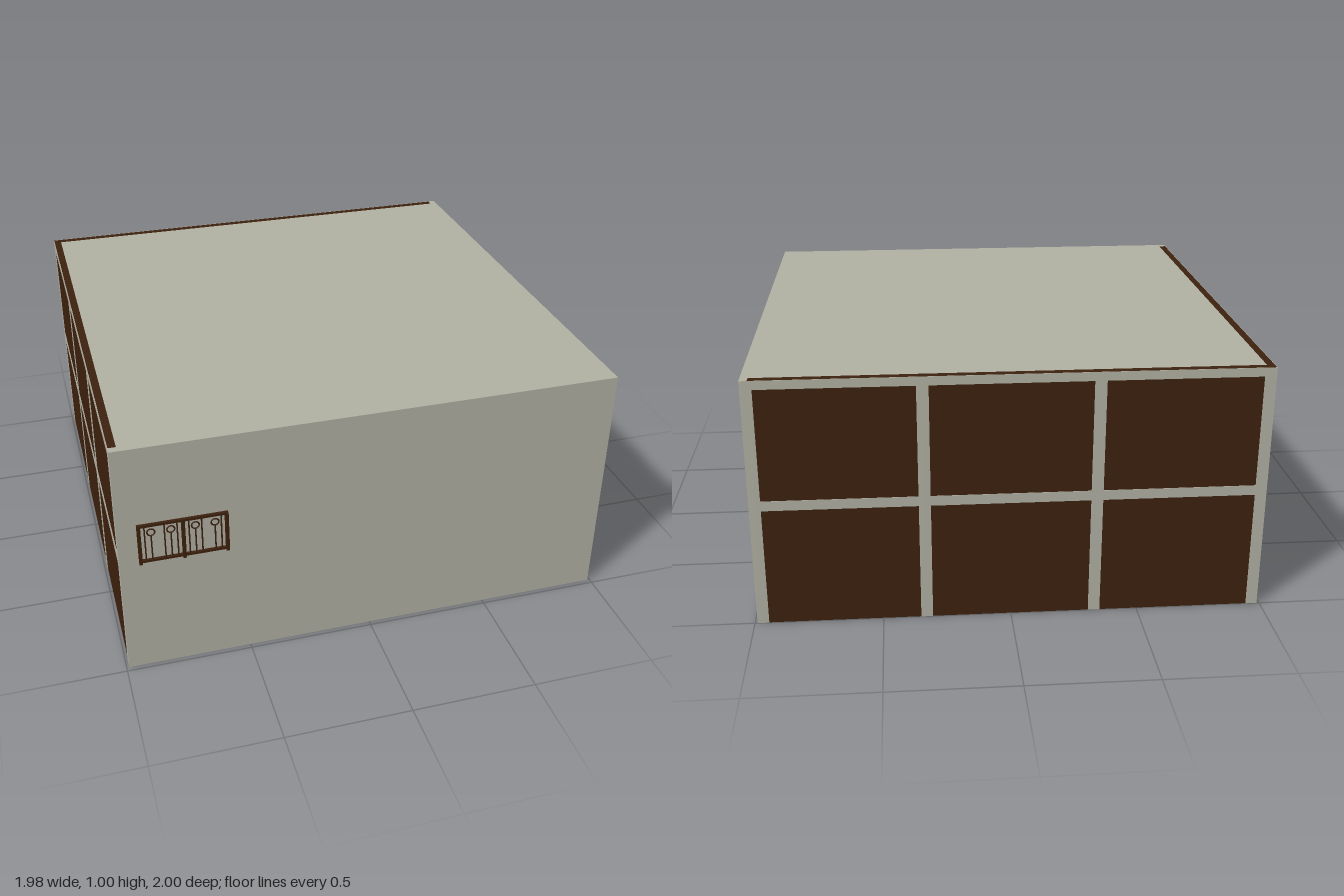
import * as THREE from 'three';

export function createModel() {
  const model = new THREE.Group();
  const concrete = new THREE.MeshStandardMaterial({ name: 'concrete', color: 0xaeaea1 });
  const wood = new THREE.MeshStandardMaterial({ name: 'darkWood', color: 0x3c200d });

  // Box given by its minimum and maximum along each axis
  function box(parent, name, material, [x0, x1], [y0, y1], [z0, z1]) {
    const mesh = new THREE.Mesh(new THREE.BoxGeometry(x1 - x0, y1 - y0, z1 - z0), material);
    mesh.position.set((x0 + x1) / 2, (y0 + y1) / 2, (z0 + z1) / 2);
    mesh.name = name;
    parent.add(mesh);
  }

  // Plain shell: roof, front wall and side wall, open underneath
  box(model, 'roof', concrete, [-0.958, 0.96], [0.97, 1], [-0.968, 0.95]);
  box(model, 'frontWall', concrete, [-0.99, 0.99], [0, 1], [0.95, 0.98]);
  box(model, 'sideWall', concrete, [0.96, 0.99], [0, 1], [-0.998, 0.95]);

  // Dark wall with a thin grid of strips on its outer face (local +z)
  function panelledWall(name, start, end) {
    const wall = new THREE.Group();
    wall.name = name;
    box(wall, 'panel', wood, [start, end], [0, 1], [-0.03, 0]);
    const columns = [[-0.99, -0.945], [-0.353, -0.307], [0.307, 0.353], [0.945, 0.99]];
    for (const span of columns) box(wall, 'uprightStrip', concrete, span, [0, 0.965], [0, 0.002]);
    box(wall, 'topStrip', concrete, [-0.99, 0.99], [0.965, 1], [0, 0.002]);
    for (let i = 0; i < 3; i++) {
      box(wall, 'middleStrip', concrete, [columns[i][1], columns[i + 1][0]], [0.48, 0.52], [0, 0.002]);
    }
    model.add(wall);
    return wall;
  }
  const back = panelledWall('backWall', -0.96, 0.988);
  back.rotation.y = Math.PI;
  back.position.z = -0.998;
  const side = panelledWall('panelledSideWall', -0.958, 0.96);
  side.rotation.y = -Math.PI / 2;
  side.position.set(-0.988, 0, -0.01);

  // Small railing on the front wall
  const railing = new THREE.Group();
  railing.name = 'railing';
  railing.position.set(-0.745, 0, 0.992);
  model.add(railing);
  const bar = (name, x, y0, y1, w, d) =>
    box(railing, name, wood, [x - w / 2, x + w / 2], [y0, y1], [-d / 2, d / 2]);
  for (const x of [-0.165, 0, 0.165]) bar('post', x, 0.502, 0.676, 0.013, 0.016);
  bar('topRail', 0, 0.667, 0.677, 0.34, 0.012);
  bar('bottomRail', 0, 0.509, 0.518, 0.33, 0.012);
  for (const s of [-1, 1]) {
    for (const x of [0.022, 0.07, 0.144]) bar('baluster', s * x, 0.515, 0.67, 0.005, 0.006);
    for (const x of [0.046, 0.12]) {
      bar('ringStem', s * x, 0.515, 0.624, 0.005, 0.006);
      const ring = new THREE.Mesh(new THREE.TorusGeometry(0.0145, 0.003, 6, 20), wood);
      ring.name = 'ring';
      ring.position.set(s * x, 0.639, 0);
      railing.add(ring);
    }
  }
  return model;
}
